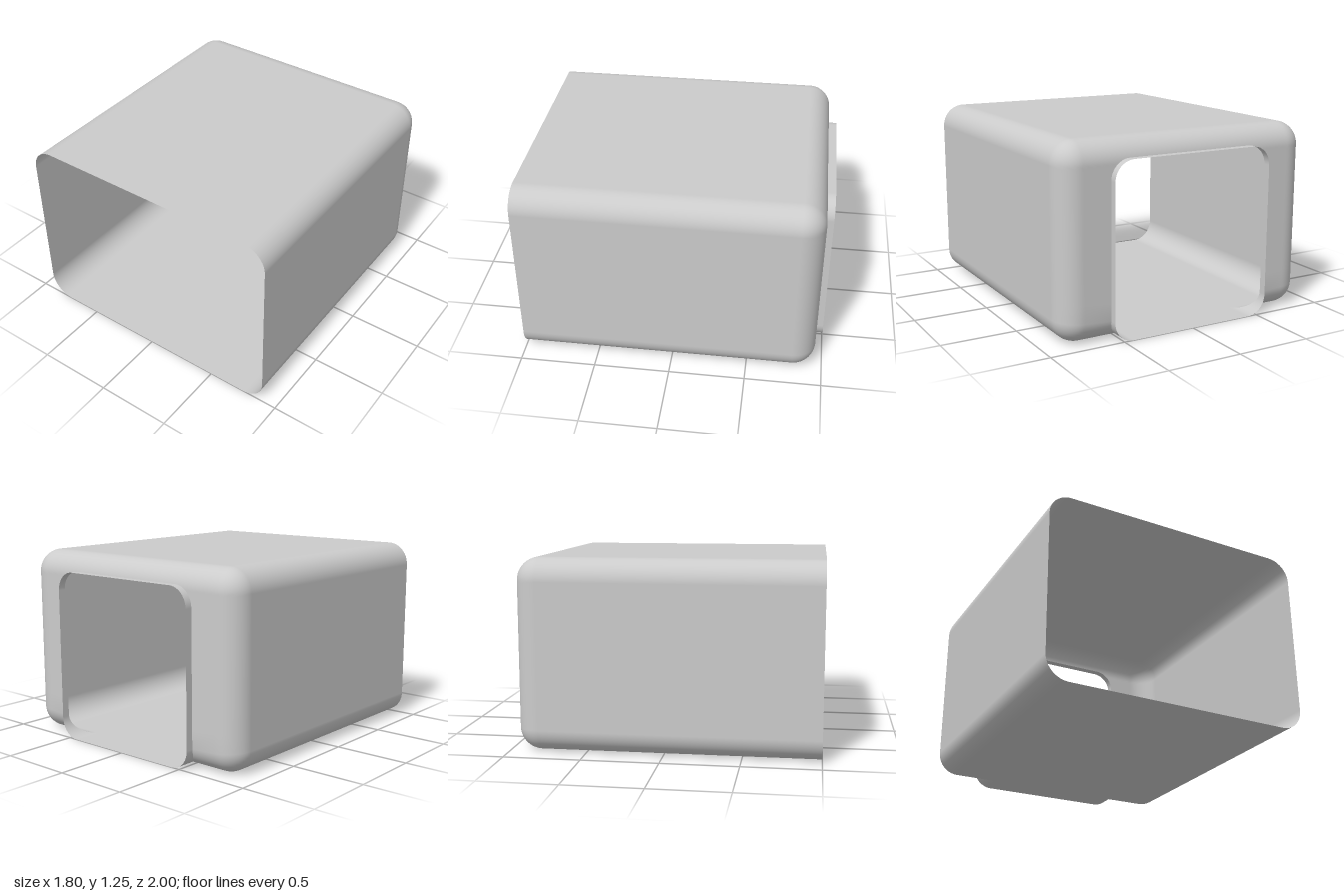
import * as THREE from 'three';

const W = 0.9, H = 1.25, R = 0.15;            // sleeve half width, height, edge radius
const HOLE_W = 0.565, HOLE_H = 1.13, HOLE_R = 0.13;
const FRONT = 1, FILLET = -0.8, BACK = -1;

const material = new THREE.MeshStandardMaterial({ color: 0xcccccc, side: THREE.DoubleSide });

// Rounded rectangle standing on y = 0, counter-clockwise, with outward normals
function contour(halfWidth, height, r, arcSteps = 12, sideSteps = 8) {
  const centres = [
    [halfWidth - r, height - r], [-halfWidth + r, height - r],
    [-halfWidth + r, r], [halfWidth - r, r],
  ];
  const points = [];
  centres.forEach(([cx, cy], k) => {
    for (let i = 0; i <= arcSteps; i++) {
      const a = (k + i / arcSteps) * Math.PI / 2;
      const nx = Math.cos(a), ny = Math.sin(a);
      points.push({ x: cx + r * nx, y: cy + r * ny, nx, ny });
    }
    const from = points[points.length - 1];
    const [ex, ey] = centres[(k + 1) % 4];
    const tx = ex + r * from.nx, ty = ey + r * from.ny;
    for (let i = 1; i < sideSteps; i++) {
      const t = i / sideSteps;
      points.push({ ...from, x: from.x + (tx - from.x) * t, y: from.y + (ty - from.y) * t });
    }
  });
  return points;
}

// Skin a row of closed rings; each ring entry is { p: [x, y, z], n: [x, y, z] }
function loft(name, rings) {
  const count = rings[0].length, position = [], normal = [], index = [];
  rings.forEach((ring, i) => {
    for (let j = 0; j <= count; j++) {
      const v = ring[j % count];
      position.push(...v.p);
      normal.push(...v.n);
      if (i < rings.length - 1 && j < count) {
        const a = i * (count + 1) + j, b = a + count + 1;
        index.push(a, b, a + 1, b, b + 1, a + 1);
      }
    }
  });
  const geometry = new THREE.BufferGeometry();
  geometry.setAttribute('position', new THREE.Float32BufferAttribute(position, 3));
  geometry.setAttribute('normal', new THREE.Float32BufferAttribute(normal, 3));
  geometry.setIndex(index);
  const mesh = new THREE.Mesh(geometry, material);
  mesh.name = name;
  return mesh;
}

// Point on the rounded back wall above (x, y)
function backPoint(x, y) {
  const dx = x - THREE.MathUtils.clamp(x, -W + R, W - R);
  const dy = y - THREE.MathUtils.clamp(y, R, H - R);
  const dz = Math.sqrt(Math.max(0, R * R - dx * dx - dy * dy));
  return { p: [x, y, FILLET - dz], n: [dx / R, dy / R, -dz / R] };
}

export function createModel() {
  const group = new THREE.Group();
  const outer = contour(W, H, R);
  const hole = contour(HOLE_W, HOLE_H, HOLE_R);
  const prism = (c, z) => c.map(v => ({ p: [v.x, v.y, z], n: [v.nx, v.ny, 0] }));

  // Straight sleeve, open at the front
  group.add(loft('sleeve', [prism(outer, FRONT), prism(outer, FILLET)]));

  // Back wall with rounded edge, running from the sleeve in to the opening
  const rows = 28, wall = [];
  for (let i = 0; i <= rows; i++) {
    const t = 1 - Math.cos(i / rows * Math.PI / 2);
    wall.push(outer.map((o, j) => backPoint(
      THREE.MathUtils.lerp(o.x, hole[j].x, t),
      THREE.MathUtils.lerp(o.y, hole[j].y, t))));
  }
  group.add(loft('backWall', wall));

  // Short collar around the opening, starting on the back wall
  const collarStart = hole.map(v => ({ p: backPoint(v.x, v.y).p, n: [v.nx, v.ny, 0] }));
  group.add(loft('collar', [collarStart, prism(hole, BACK)]));

  return group;
}
